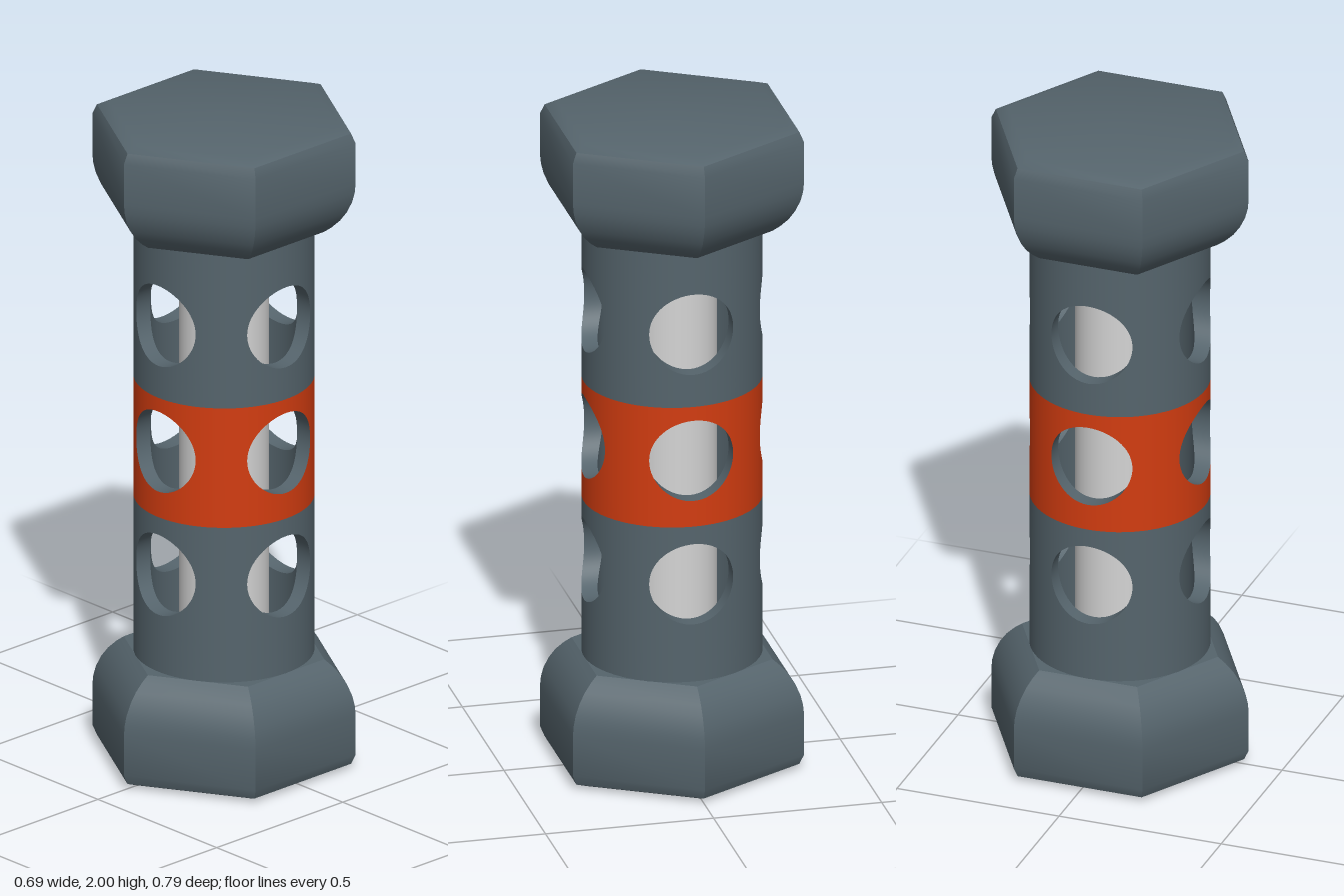
import * as THREE from 'three';
import { toCreasedNormals } from 'three/addons/utils/BufferGeometryUtils.js';
import { ParametricGeometry } from 'three/addons/geometries/ParametricGeometry.js';

const OUTER = 0.262, INNER = 0.215, HOLE = 0.125;

export function createModel() {
  const gunmetal = new THREE.MeshStandardMaterial({ color: 0x55646c });
  gunmetal.name = 'gunmetal';
  const orange = new THREE.MeshStandardMaterial({ color: 0xd23c10 });
  orange.name = 'orange';
  const paleGrey = new THREE.MeshStandardMaterial({ color: 0xd4d4d4 });
  paleGrey.name = 'paleGrey';

  const model = new THREE.Group();
  model.name = 'perforatedCanister';
  const add = (parent, name, geometry, material) => {
    const mesh = new THREE.Mesh(geometry, material);
    mesh.name = name;
    parent.add(mesh);
    return mesh;
  };

  // Hexagonal end caps: six-sided lathe, rounded towards the tube, bevelled at the end
  const capProfile = [
    [0, 1.668], [0.302, 1.668], [0.325, 1.685], [0.35, 1.709], [0.37, 1.737],
    [0.386, 1.77], [0.394, 1.80], [0.397, 1.83], [0.397, 1.955],
    [0.383, 1.985], [0.345, 2], [0, 2],
  ].map(([r, y]) => new THREE.Vector2(r, y - 1));
  const capGeometry = toCreasedNormals(new THREE.LatheGeometry(capProfile, 6), 0.5);
  const topCap = add(model, 'topCap', capGeometry, gunmetal);
  topCap.position.y = 1;
  const bottomCap = add(model, 'bottomCap', capGeometry, gunmetal);
  bottomCap.position.y = 1;
  bottomCap.rotation.z = Math.PI;

  // Inner core seen through the holes
  const core = add(model, 'innerCore', new THREE.CylinderGeometry(0.13, 0.13, 1.36, 48), paleGrey);
  core.position.y = 1;

  // Point on a quarter panel: s = 0 on the hole rim, s = 1 on the panel border
  const panelPoint = (t, s, radius, section, target) => {
    const c = Math.cos(t), n = Math.sin(t), m = Math.max(Math.abs(c), Math.abs(n));
    const rimAngle = Math.asin(HOLE * c / radius);
    const rimY = HOLE * n;
    const edgeAngle = c / m * Math.PI / 4;
    const edgeY = n / m * (n > 0 ? section.top - section.hole : section.hole - section.bottom);
    const angle = rimAngle + (edgeAngle - rimAngle) * s;
    target.set(
      Math.sin(angle) * radius,
      section.hole + rimY + (edgeY - rimY) * s,
      Math.cos(angle) * radius,
    );
  };

  // Perforated tube: three sections of four panels, each with one round hole
  const sections = [
    { name: 'lowerTube', bottom: 0.33, hole: 0.635, top: 0.815, skin: gunmetal },
    { name: 'middleBand', bottom: 0.815, hole: 1.02, top: 1.188, skin: orange },
    { name: 'upperTube', bottom: 1.188, hole: 1.413, top: 1.67, skin: gunmetal },
  ];
  for (const section of sections) {
    const group = new THREE.Group();
    group.name = section.name;
    model.add(group);

    const outside = new ParametricGeometry(
      (u, v, p) => panelPoint(u * Math.PI * 2, 1 - v, OUTER, section, p), 64, 6);
    const inside = new ParametricGeometry(
      (u, v, p) => panelPoint(u * Math.PI * 2, v, INNER, section, p), 64, 6);
    const holeWall = new ParametricGeometry(
      (u, v, p) => panelPoint(u * Math.PI * 2, 0, OUTER + (INNER - OUTER) * v, section, p), 64, 1);

    for (let i = 0; i < 4; i++) {
      const panel = new THREE.Group();
      panel.name = 'quarterPanel';
      panel.rotation.y = i * Math.PI / 2;
      add(panel, 'outerSkin', outside, section.skin);
      add(panel, 'innerSkin', inside, gunmetal);
      add(panel, 'holeWall', holeWall, gunmetal);
      group.add(panel);
    }
  }
  return model;
}
